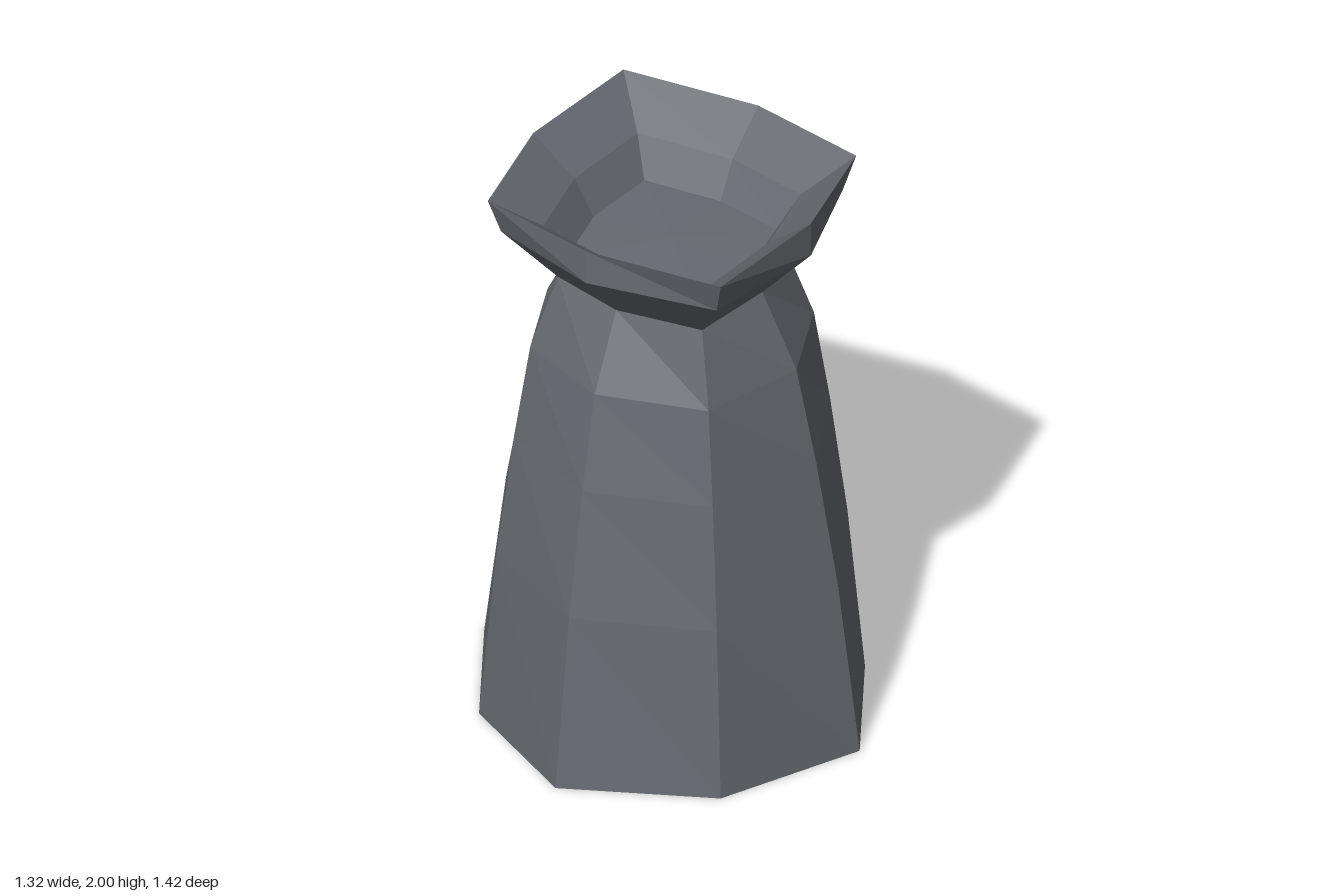
import * as THREE from 'three';

// Eight-sided ring: x radius, diagonal corner offset, z radius, height
function ring([rx, d, rz, y]) {
  return [[rx, 0], [d, d], [0, rz], [-d, d], [-rx, 0], [-d, -d], [0, -rz], [d, -d]]
    .map(([x, z]) => [x, y, z]);
}

// Skins consecutive rings; optional centre heights close the first and last ring
function loft(rows, startY, endY) {
  const rings = rows.map(ring);
  const pos = [];
  const tri = (a, b, c) => pos.push(...a, ...b, ...c);
  for (let i = 0; i < 8; i++) {
    const j = (i + 1) % 8;
    for (let k = 0; k < rings.length - 1; k++) {
      const lo = rings[k], hi = rings[k + 1];
      tri(lo[i], hi[i], hi[j]);
      tri(lo[i], hi[j], lo[j]);
    }
    const first = rings[0], last = rings[rings.length - 1];
    if (startY !== undefined) tri([0, startY, 0], first[i], first[j]);
    if (endY !== undefined) tri([0, endY, 0], last[j], last[i]);
  }
  const geo = new THREE.BufferGeometry();
  geo.setAttribute('position', new THREE.Float32BufferAttribute(pos, 3));
  geo.computeVertexNormals();
  return geo;
}

export function createModel() {
  const group = new THREE.Group();
  group.name = 'tower';
  const stone = new THREE.MeshStandardMaterial({ color: 0x666a70, flatShading: true });
  const add = (name, geo) => {
    const mesh = new THREE.Mesh(geo, stone);
    mesh.name = name;
    group.add(mesh);
  };

  const neck = [0.39, 0.25, 0.44, 1.67];
  const rim = [0.63, 0.385, 0.71, 2];

  // Tapering shaft with a flat underside
  add('shaft', loft([
    [0.66, 0.52, 0.71, 0],
    [0.60, 0.46, 0.655, 0.62],
    [0.54, 0.40, 0.595, 1.07],
    [0.485, 0.345, 0.535, 1.41],
    neck,
  ], 0));

  // Flared crown outside
  add('crown', loft([neck, [0.585, 0.385, 0.655, 1.875], rim]));

  // Hollow inside the crown, with a slightly domed floor
  add('bowl', loft([
    rim,
    [0.44, 0.27, 0.505, 1.875],
    [0.355, 0.217, 0.405, 1.75],
  ], undefined, 1.765));

  return group;
}
